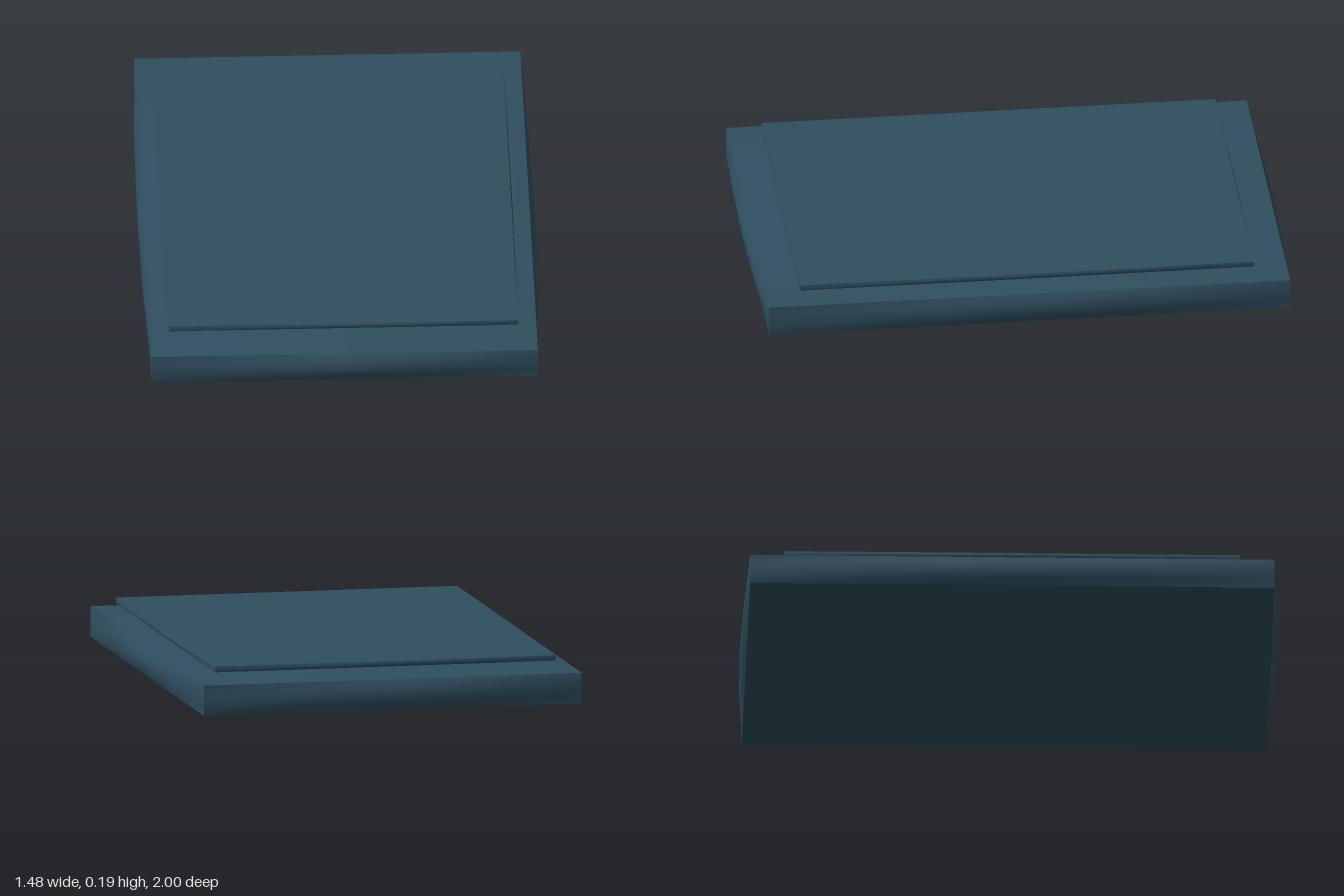
import * as THREE from 'three';

// Box whose six faces each swell outwards while the edges stay straight
function pillowBox(hx, hy, hz, bx, by, bz) {
  const g = new THREE.BoxGeometry(2, 2, 2, 4, 4, 4);
  const p = g.attributes.position;
  const n = g.attributes.normal;
  const f = (t) => 1 - t * t;
  for (let i = 0; i < p.count; i++) {
    const x = p.getX(i), y = p.getY(i), z = p.getZ(i);
    p.setXYZ(i,
      x * hx + n.getX(i) * bx * f(y) * f(z),
      y * hy + n.getY(i) * by * f(x) * f(z),
      z * hz + n.getZ(i) * bz * f(x) * f(y));
  }
  g.computeVertexNormals(); // faces share no vertices, so edges stay crisp
  return g;
}

export function createModel() {
  const group = new THREE.Group();
  const slate = new THREE.MeshStandardMaterial({ color: 0x2f4f5f });
  slate.name = 'slateBlue';

  // Thick cushioned slab
  const slab = new THREE.Mesh(pillowBox(0.72, 0.0575, 0.977, 0.021, 0.025, 0.023), slate);
  slab.name = 'slab';
  slab.position.y = 0.0825;

  // Thin panel resting on the slab
  const panel = new THREE.Mesh(pillowBox(0.651, 0.0105, 0.851, 0.004, 0.005, 0.004), slate);
  panel.name = 'topPanel';
  panel.position.y = 0.179;

  group.add(slab, panel);
  return group;
}
